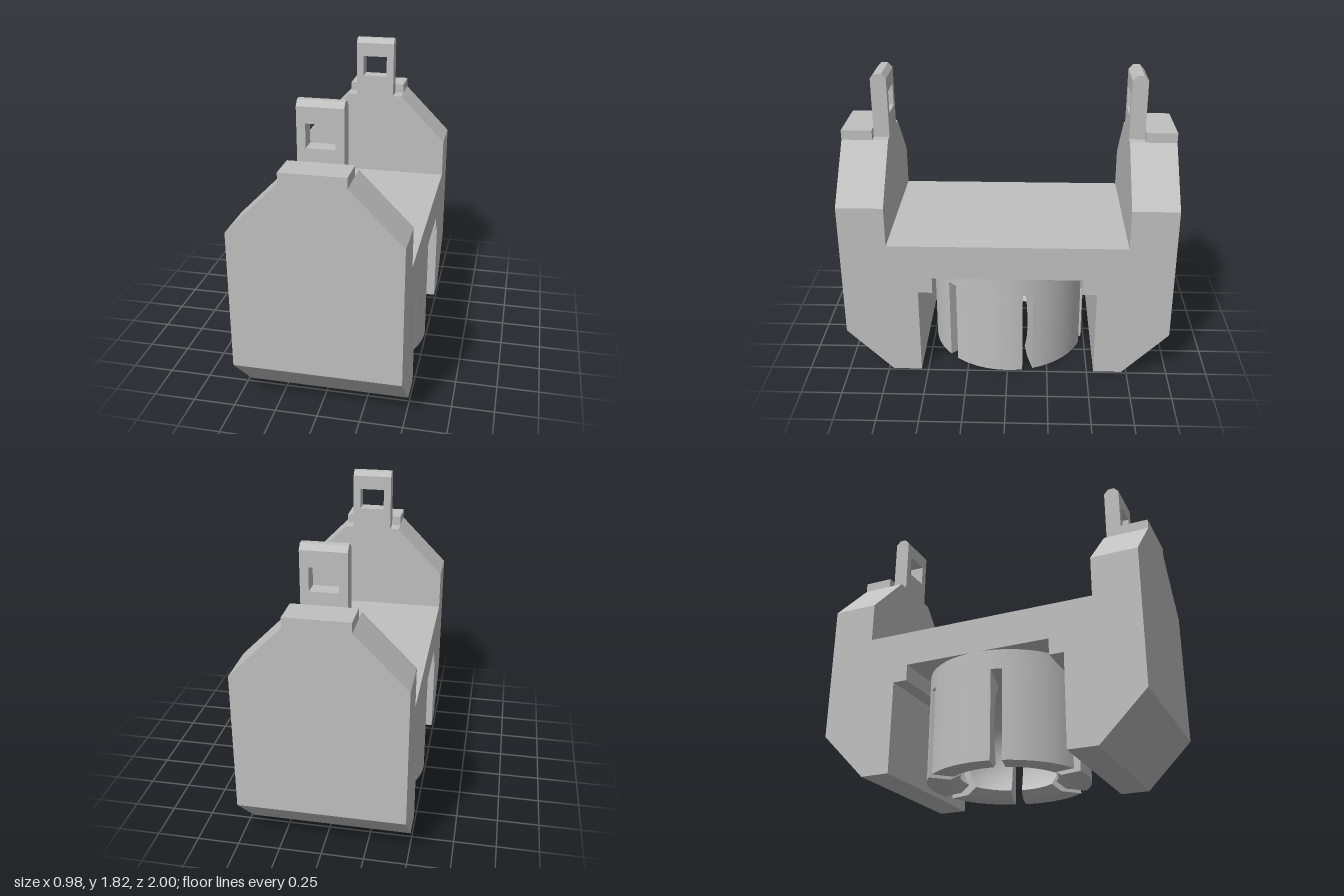
import * as THREE from 'three';
import { toCreasedNormals } from 'three/addons/utils/BufferGeometryUtils.js';

const HALF_W = 0.49;     // half width of the body, also the socket radius
const SLOT_HALF = 0.033; // half width of the socket slots
const SLOT_TOP = 0.54;
const BALL_R = 0.36, BALL_Y = 0.25;

const polygon = (pts) => new THREE.Shape(pts.map(([x, y]) => new THREE.Vector2(x, y)));

// Extrudes a shape by depth, centred on z = 0
function slab(shape, depth) {
  const g = new THREE.ExtrudeGeometry(shape, { depth, bevelEnabled: false });
  return g.translate(0, 0, -depth / 2);
}

// Makes a symmetric outline from its +x half
const mirrored = (half) => polygon([...half, ...half.map(([x, y]) => [-x, y]).reverse()]);

// Points on the ball cavity from height y0 to y1, as [radius, y]
function ballArc(y0, y1, n) {
  const a0 = Math.asin((y0 - BALL_Y) / BALL_R), a1 = Math.asin((y1 - BALL_Y) / BALL_R);
  return Array.from({ length: n + 1 }, (_, i) => {
    const a = a0 + (a1 - a0) * i / n;
    return [Math.max(0, BALL_R * Math.cos(a)), BALL_Y + BALL_R * Math.sin(a)];
  });
}

// One socket finger: a profile swept between two parallel-sided slots
function fingerGeometry(from, to) {
  const profile = [[HALF_W, 0], [HALF_W, SLOT_TOP], ...ballArc(SLOT_TOP, 0.04, 16), [0.357, 0]];
  const steps = 12, pos = [];
  const at = ([r, y], j) => {
    const inset = Math.asin(SLOT_HALF / r);
    const a = from + inset + (to - from - 2 * inset) * j / steps;
    return [r * Math.cos(a), y, r * Math.sin(a)];
  };
  profile.forEach((p, i) => {
    const q = profile[(i + 1) % profile.length];
    for (let j = 0; j < steps; j++) {
      pos.push(...at(p, j), ...at(q, j), ...at(p, j + 1));
      pos.push(...at(q, j), ...at(q, j + 1), ...at(p, j + 1));
    }
  });
  // Flat slot walls at both ends
  const outline = profile.map(([r, y]) => new THREE.Vector2(r, y));
  for (const [a, b, c] of THREE.ShapeUtils.triangulateShape(outline, [])) {
    pos.push(...at(profile[c], 0), ...at(profile[b], 0), ...at(profile[a], 0));
    pos.push(...at(profile[a], steps), ...at(profile[b], steps), ...at(profile[c], steps));
  }
  const g = new THREE.BufferGeometry();
  g.setAttribute('position', new THREE.Float32BufferAttribute(pos, 3));
  return toCreasedNormals(g, 0.5);
}

export function createModel() {
  const model = new THREE.Group();
  const grey = new THREE.MeshStandardMaterial({ color: 0xc0c0c0 });
  grey.name = 'light grey';

  const add = (name, geometry, parent = model) => {
    const mesh = new THREE.Mesh(geometry, grey);
    mesh.name = name;
    parent.add(mesh);
    return mesh;
  };

  // Body: side outline with saddle above and stepped recess below
  const side = mirrored([
    [0.455, 0.66], [0.455, 0.56], [0.543, 0.56], [0.543, 0], [0.72, 0],
    [1, 0.28], [1, 1.12], [0.72, 1.12], [0.72, 0.875],
  ]);
  add('body', slab(side, HALF_W * 2).rotateY(Math.PI / 2));

  // Sloped shoulder, top step and pierced tab on each end wall
  for (const [name, s] of [['front', 1], ['back', -1]]) {
    const end = new THREE.Group();
    end.name = name + 'End';
    model.add(end);

    const shoulder = mirrored([[HALF_W, 1.12], [0.185, 1.43]]);
    add(name + 'Shoulder', slab(shoulder, 0.28).translate(0, 0, s * 0.86), end);

    const step = new THREE.BoxGeometry(0.37, 0.06, 0.185);
    add(name + 'Step', step.translate(0, 1.46, s * 0.9075), end);

    const plate = mirrored([[0.128, 1.43], [0.128, 1.79]]);
    plate.holes.push(mirrored([[0.08, 1.565], [0.08, 1.7]]));
    add(name + 'Tab', slab(plate, 0.095).translate(0, 0, s * 0.7675), end);

    const cap = mirrored([[0.0475, 1.79], [0.02, 1.82]]);
    add(name + 'TabCap', slab(cap, 0.256).rotateY(Math.PI / 2).translate(0, 0, s * 0.7675), end);
  }

  // Ball socket: domed crown above six fingers
  const socket = new THREE.Group();
  socket.name = 'ballSocket';
  model.add(socket);
  const crown = [...ballArc(BALL_Y + BALL_R, SLOT_TOP, 6), [HALF_W, SLOT_TOP], [HALF_W, 0.66]]
    .map(([r, y]) => new THREE.Vector2(r, y));
  add('socketCrown', toCreasedNormals(new THREE.LatheGeometry(crown, 72), 0.5), socket);
  for (let k = 0; k < 6; k++) {
    const from = Math.PI / 4 + k * Math.PI / 3;
    add('socketFinger' + (k + 1), fingerGeometry(from, from + Math.PI / 3), socket);
  }

  return model;
}
